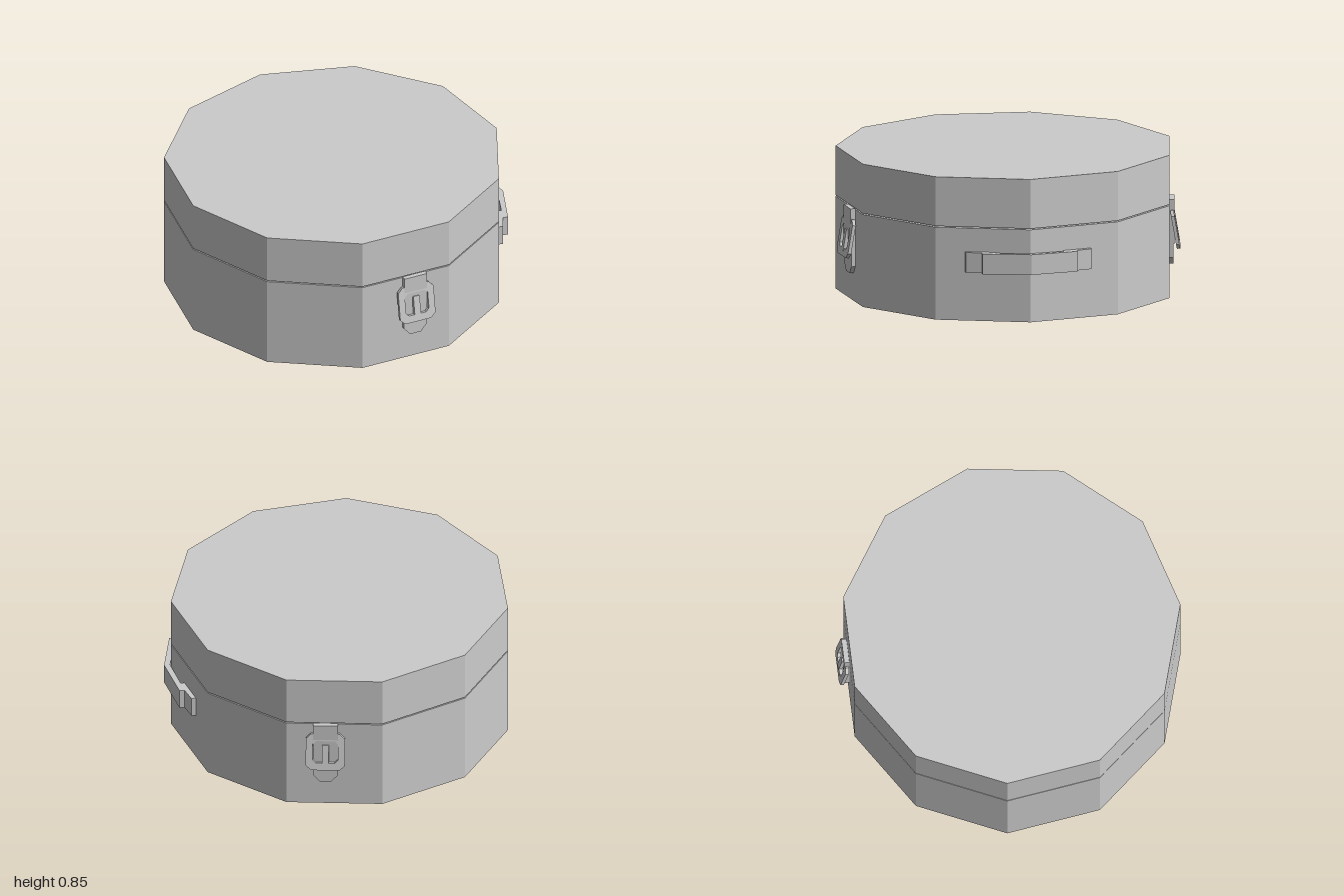
import * as THREE from 'three';

const SIDES = 11, RADIUS = 0.993, CENTRE_X = -0.043;

const material = new THREE.MeshStandardMaterial({ color: 0xcccccc, flatShading: true });

function part(name, geometry) {
  const mesh = new THREE.Mesh(geometry, material);
  mesh.name = name;
  return mesh;
}

// Eleven-sided closed drum with a corner pointing to +x
function drum(name, y0, y1) {
  const geo = new THREE.CylinderGeometry(RADIUS, RADIUS, y1 - y0, SIDES, 1, false, Math.PI / 2);
  geo.translate(CENTRE_X, (y0 + y1) / 2, 0);
  return part(name, geo);
}

function polygon(points) {
  return new THREE.Shape(points.map(([x, y]) => new THREE.Vector2(x, y)));
}

// Rectangle with cut corners
function cutRect(x, y0, y1, c) {
  return [[-x + c, y0], [x - c, y0], [x, y0 + c], [x, y1 - c],
    [x - c, y1], [-x + c, y1], [-x, y1 - c], [-x, y0 + c]];
}

function plate(points, depth, hole) {
  const shape = polygon(points);
  if (hole) shape.holes.push(polygon(hole));
  return new THREE.ExtrudeGeometry(shape, { depth, bevelEnabled: false });
}

// Latch: origin on the wall at ground level, +z away from the wall
function createLatch(name) {
  const latch = new THREE.Group();
  latch.name = name;

  // Back plate with a tapered lower tip
  latch.add(part('latchPlate', plate([
    [-0.035, 0.165], [0.035, 0.165], [0.073, 0.21], [0.073, 0.45], [-0.073, 0.45], [-0.073, 0.21],
  ], 0.024)));

  // Strap hooked from the lid, slotted around the tongue
  latch.add(part('latchStrap', plate([
    [0.022, 0.29], [0.073, 0.29], [0.073, 0.555], [-0.073, 0.555],
    [-0.073, 0.29], [-0.022, 0.29], [-0.022, 0.42], [0.022, 0.42],
  ], 0.03)));

  // Frame and tongue lean outwards towards the bottom
  const lever = new THREE.Group();
  lever.name = 'latchLever';
  lever.add(part('leverFrame', plate(cutRect(0.114, -0.23, 0, 0.03), 0.02,
    cutRect(0.074, -0.185, -0.045, 0.02))));
  const tongue = part('leverTongue', new THREE.BoxGeometry(0.04, 0.13, 0.022));
  tongue.position.set(0, -0.135, 0.011);
  lever.add(tongue);
  lever.position.set(0, 0.49, 0.004);
  lever.rotation.x = -0.17;
  latch.add(lever);
  return latch;
}

// Carrying handle bent around the corner at +x
function createHandle() {
  const half = [[0.843, 0.37], [0.87, 0.37], [0.9, 0.28], [0.93, 0.28], [0.99, 0]];
  const inner = [[0.955, 0], [0.915, 0.2], [0.892, 0.2]];
  const mirror = (list) => list.map(([x, z]) => [x, -z]).reverse();
  const outline = [...half, ...mirror(half).slice(1), ...mirror(inner), ...inner.slice(1)];
  const geo = plate(outline, 0.12);
  geo.rotateX(-Math.PI / 2);
  geo.translate(0, 0.29, 0);
  return part('handle', geo);
}

export function createModel() {
  const model = new THREE.Group();
  model.name = 'roundCase';
  model.add(drum('body', 0, 0.55), drum('lid', 0.557, 0.85), createHandle());

  // One latch on the front wall and one on the matching back wall
  const turn = Math.PI / (2 * SIDES);
  const apothem = RADIUS * Math.cos(Math.PI / SIDES);
  const shift = 0.052;
  for (const side of [1, -1]) {
    const latch = createLatch(side > 0 ? 'frontLatch' : 'backLatch');
    latch.rotation.y = side > 0 ? turn : Math.PI - turn;
    latch.position.set(
      CENTRE_X + Math.sin(turn) * apothem + Math.cos(turn) * shift, 0,
      side * (Math.cos(turn) * apothem - Math.sin(turn) * shift));
    model.add(latch);
  }
  return model;
}
